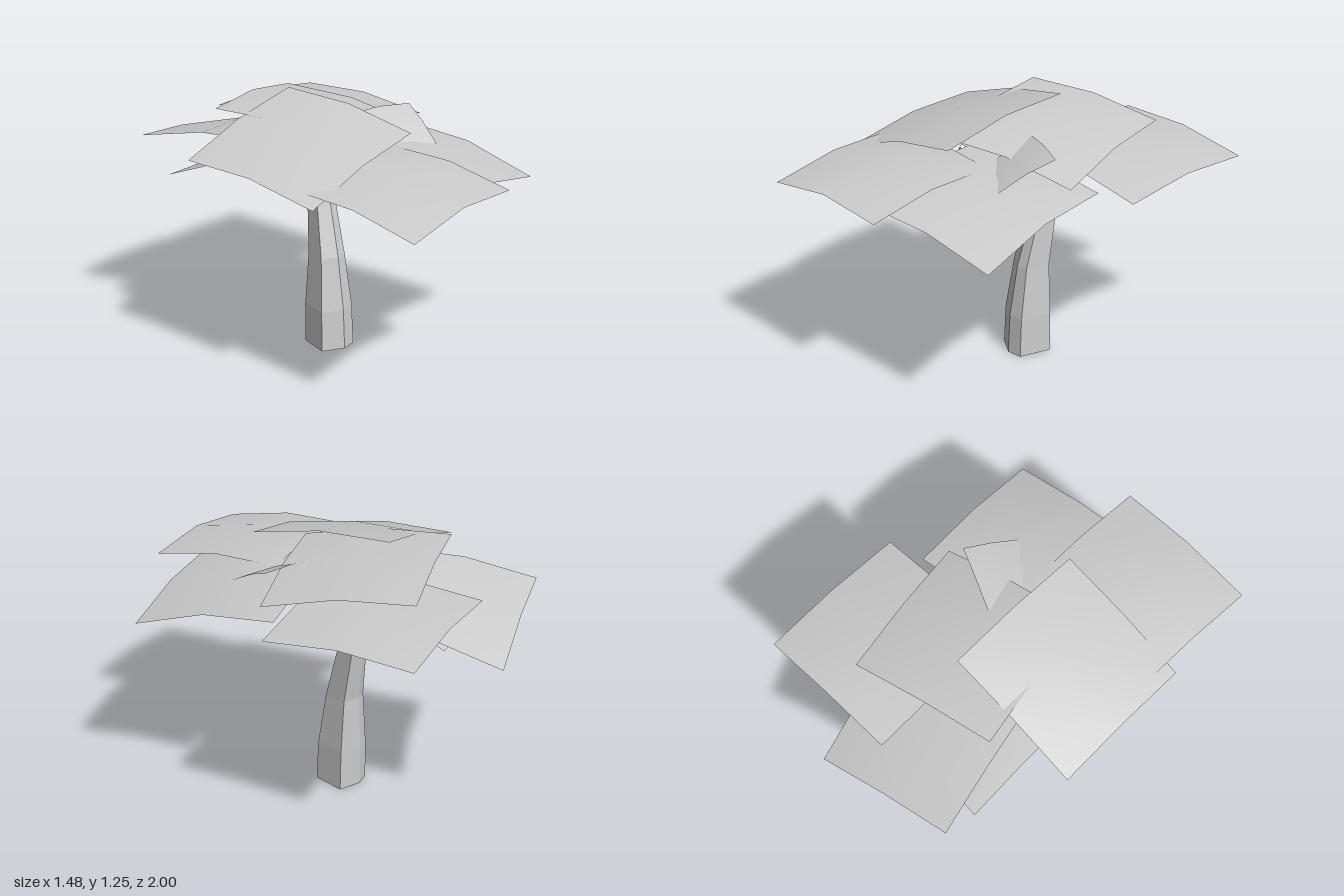
import * as THREE from 'three';

const barkMat = new THREE.MeshStandardMaterial({ color: 0xcccccc, flatShading: true });
const leafMat = new THREE.MeshStandardMaterial({ color: 0xcccccc, side: THREE.DoubleSide });

// Bent leaf sheet: four corners (back left, back right, front left, front right) plus a bulge each way
function leafSheet(bl, br, fl, fr, bulgeU = 0.03, bulgeV = 0.03) {
  const geo = new THREE.PlaneGeometry(1, 1, 2, 2);
  const pos = geo.attributes.position;
  const [a, b, c, d] = [bl, br, fl, fr].map((p) => new THREE.Vector3(...p));
  const back = new THREE.Vector3(), front = new THREE.Vector3();
  for (let i = 0; i < pos.count; i++) {
    const u = pos.getX(i) + 0.5, v = 0.5 - pos.getY(i);
    back.lerpVectors(a, b, u);
    front.lerpVectors(c, d, u);
    back.lerp(front, v);
    back.y += 4 * (bulgeU * u * (1 - u) + bulgeV * v * (1 - v));
    pos.setXYZ(i, back.x, back.y, back.z);
  }
  geo.computeVertexNormals();
  return new THREE.Mesh(geo, leafMat);
}

// Six-sided trunk lofted through rings of [y, centre x, centre z, scale]
function trunkGeometry() {
  const section = [[0.02, 0.105], [0.09, 0.075], [0.09, -0.085], [-0.02, -0.105], [-0.09, -0.075], [-0.09, 0.075]];
  const rings = [
    [0, -0.02, -0.105, 1], [0.2, -0.02, -0.11, 0.96], [0.46, -0.018, -0.128, 0.74],
    [0.7, -0.012, -0.178, 0.58], [0.87, -0.008, -0.205, 0.45], [1.07, 0, -0.215, 0.3],
  ];
  const n = section.length, verts = [], index = [];
  for (const [y, cx, cz, s] of rings)
    for (const [x, z] of section) verts.push(cx + x * s, y, cz + z * s);
  for (let r = 0; r < rings.length - 1; r++)
    for (let i = 0; i < n; i++) {
      const a = r * n + i, b = r * n + ((i + 1) % n);
      index.push(a, b, b + n, a, b + n, a + n);
    }
  // end caps
  const top = (rings.length - 1) * n;
  for (let i = 1; i < n - 1; i++) index.push(0, i + 1, i, top, top + i, top + i + 1);
  const geo = new THREE.BufferGeometry();
  geo.setAttribute('position', new THREE.Float32BufferAttribute(verts, 3));
  geo.setIndex(index);
  geo.computeVertexNormals();
  return geo;
}

// Five-sided branch that narrows towards its tip
function branch(points, r0, r1) {
  const curve = new THREE.CatmullRomCurve3(points.map((p) => new THREE.Vector3(...p)));
  const segs = 4, sides = 5;
  const geo = new THREE.TubeGeometry(curve, segs, r0, sides);
  const pos = geo.attributes.position, p = new THREE.Vector3();
  for (let i = 0; i < pos.count; i++) {
    const t = Math.floor(i / (sides + 1)) / segs;
    const c = curve.getPointAt(t);
    p.fromBufferAttribute(pos, i).sub(c).multiplyScalar(THREE.MathUtils.lerp(1, r1 / r0, t)).add(c);
    pos.setXYZ(i, p.x, p.y, p.z);
  }
  geo.computeVertexNormals();
  return new THREE.Mesh(geo, barkMat);
}

export function createModel() {
  const tree = new THREE.Group();
  tree.name = 'tree';
  const add = (name, mesh) => { mesh.name = name; tree.add(mesh); };

  // Wood
  add('trunk', new THREE.Mesh(trunkGeometry(), barkMat));
  add('rightBranch', branch([[-0.02, 0.77, -0.19], [-0.18, 0.81, -0.14], [-0.26, 0.89, -0.03], [-0.34, 0.97, 0.09]], 0.045, 0.016));
  add('leftBranch', branch([[0, 0.78, -0.21], [0.06, 0.88, -0.25], [0.19, 0.98, -0.33]], 0.035, 0.016));

  // Canopy
  add('topLeaf', leafSheet([-0.74, 1.07, -0.13], [-0.10, 1.25, -0.32], [-0.52, 1.0, 0.54], [0.12, 1.17, 0.35], 0.025, 0.03));
  add('centreLeaf', leafSheet([-0.47, 1.2, -0.36], [0.13, 1.135, -0.70], [-0.14, 1.12, 0.26], [0.46, 1.035, -0.08]));
  add('frontLeaf', leafSheet([-0.51, 1.04, 0.38], [0.14, 1.06, 0.17], [-0.33, 0.965, 1.0], [0.33, 0.995, 0.79], 0.04, 0.03));
  add('leftLeaf', leafSheet([-0.15, 1.07, 0.07], [0.49, 1.01, -0.20], [0.10, 0.97, 0.72], [0.74, 0.87, 0.45], 0.03, 0.04));
  add('backLeftLeaf', leafSheet([-0.23, 1.07, -0.76], [0.43, 1.02, -0.97], [-0.02, 1.06, -0.08], [0.64, 1.0, -0.29]));
  add('backRightLeaf', leafSheet([-0.69, 1.02, -0.69], [-0.10, 0.86, -1.0], [-0.36, 1.09, -0.10], [0.23, 1.02, -0.41], 0.035, 0.03));
  add('lowerRightLeaf', leafSheet([-0.64, 0.86, -0.53], [-0.11, 0.83, -0.655], [-0.49, 1.04, 0.02], [0.04, 1.02, -0.10], 0.025, 0.025));
  add('smallLeaf', leafSheet([0.08, 1.15, -0.08], [0.39, 1.16, -0.04], [0.07, 1.02, 0.17], [0.36, 1.04, 0.22], 0.012, 0.012));
  return tree;
}
